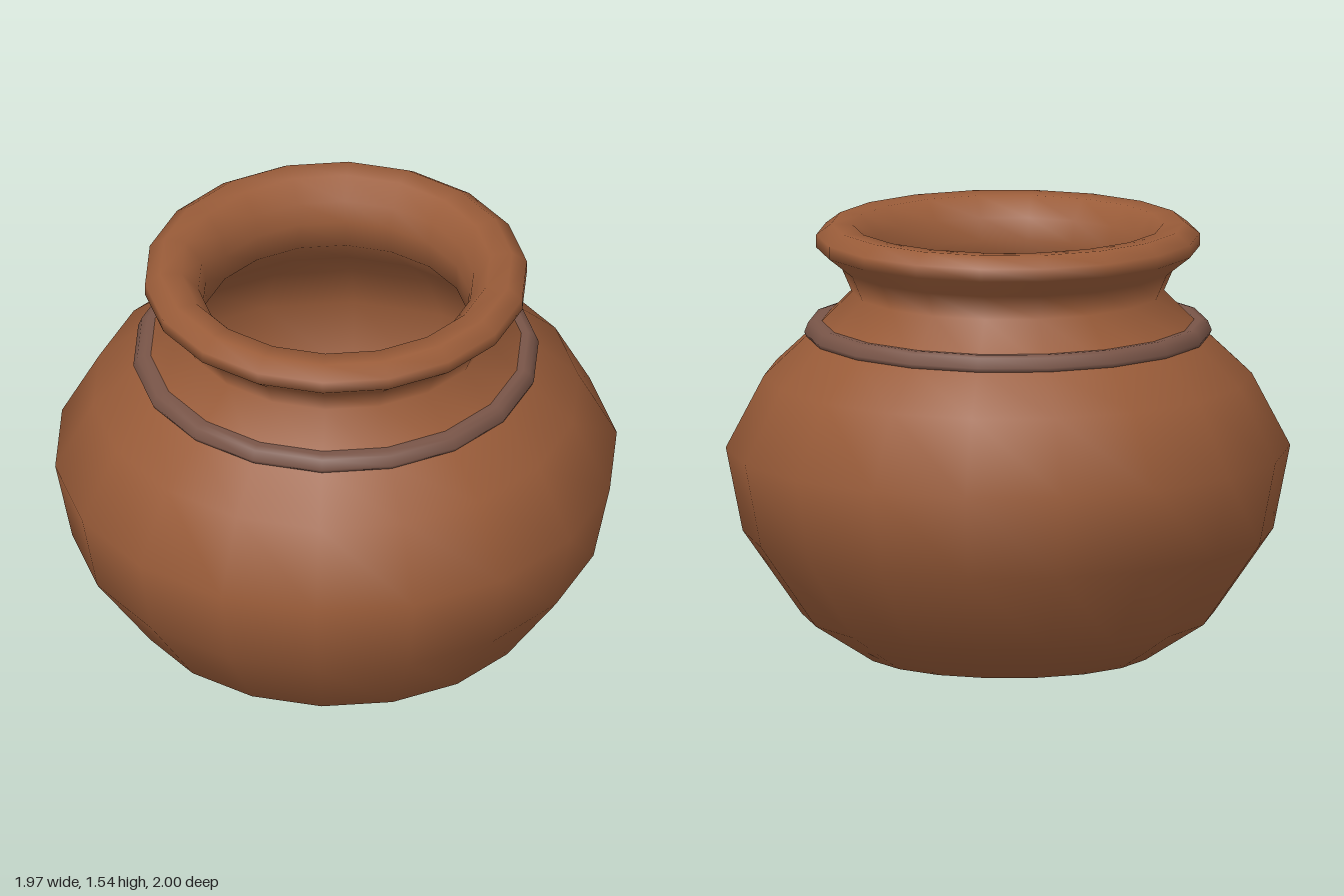
import * as THREE from 'three';

const SIDES = 18;

// Smooth-shaded turned part from [radius, height] pairs, outside going up
function turned(name, profile, material) {
  const points = profile.map(([r, y]) => new THREE.Vector2(r, y));
  const mesh = new THREE.Mesh(new THREE.LatheGeometry(points, SIDES), material);
  mesh.name = name;
  return mesh;
}

export function createModel() {
  const clay = new THREE.MeshStandardMaterial({ color: 0x9a5c39 });
  clay.name = 'terracotta';
  const bandClay = new THREE.MeshStandardMaterial({ color: 0x795548 });
  bandClay.name = 'dull brown band';

  const pot = new THREE.Group();
  pot.name = 'clayPot';

  // Thick-walled pot: base, belly, neck, flared lip, then back down the inside
  pot.add(turned('potBody', [
    [0, 0], [0.513, 0], [0.731, 0.14], [0.94, 0.44], [1, 0.74],
    [0.864, 1.0], [0.71, 1.145], [0.553, 1.3], [0.592, 1.39],
    [0.68, 1.46], [0.68, 1.505], [0.627, 1.545],
    [0.55, 1.54], [0.49, 1.47], [0.475, 1.39], [0.475, 1.29],
    [0.63, 1.13], [0.79, 0.96], [0.92, 0.73], [0.86, 0.47],
    [0.67, 0.2], [0.48, 0.08], [0, 0.08],
  ], clay));

  // Raised band around the shoulder
  pot.add(turned('shoulderBand', [
    [0.67, 1.14], [0.715, 1.14], [0.722, 1.155], [0.708, 1.19],
    [0.685, 1.197], [0.66, 1.195],
  ], bandClay));

  return pot;
}
